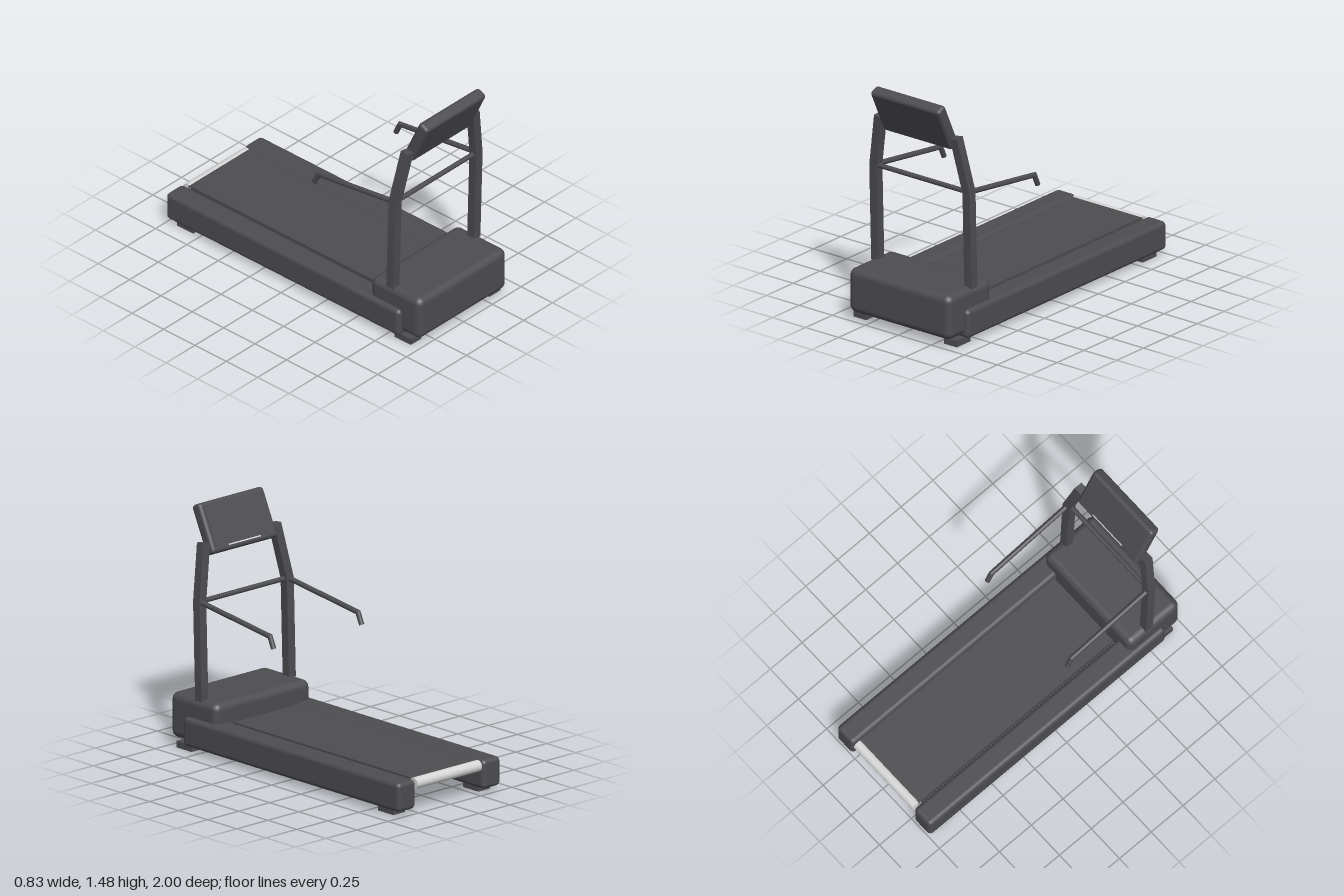
import * as THREE from 'three';
import { toCreasedNormals } from 'three/addons/utils/BufferGeometryUtils.js';
import { RoundedBoxGeometry } from 'three/addons/geometries/RoundedBoxGeometry.js';

// Sweep a regular polygon along a bent path, with mitred joints and end caps.
function mitredBar(path, radius, sides, phase = 0) {
  const pts = path.map((p) => new THREE.Vector3(...p));
  const dirs = pts.slice(1).map((p, i) => p.clone().sub(pts[i]).normalize());
  const u = new THREE.Vector3(1, 0, 0);
  const v = dirs[0].clone().cross(u);
  let ring = [];
  for (let j = 0; j < sides; j++) {
    const a = phase + (j / sides) * Math.PI * 2;
    ring.push(pts[0].clone().addScaledVector(u, Math.cos(a) * radius).addScaledVector(v, Math.sin(a) * radius));
  }
  const rings = [ring];
  for (let i = 1; i < pts.length; i++) {
    const d = dirs[i - 1];
    const normal = d.clone().add(dirs[i] || d).normalize();
    ring = ring.map((p) => {
      const t = pts[i].clone().sub(p).dot(normal) / d.dot(normal);
      return p.clone().addScaledVector(d, t);
    });
    rings.push(ring);
  }
  const tris = [];
  const last = rings[rings.length - 1];
  for (let j = 0; j < sides; j++) {
    const k = (j + 1) % sides;
    for (let i = 0; i < rings.length - 1; i++) {
      const [a, b, c, d] = [rings[i][j], rings[i][k], rings[i + 1][k], rings[i + 1][j]];
      tris.push(a, b, c, a, c, d);
    }
    tris.push(pts[0], rings[0][k], rings[0][j], pts[pts.length - 1], last[j], last[k]);
  }
  return toCreasedNormals(new THREE.BufferGeometry().setFromPoints(tris), 0.6);
}

export function createModel() {
  const model = new THREE.Group();
  model.name = 'treadmill';
  const charcoal = new THREE.MeshStandardMaterial({ color: 0x4d4c50 });
  charcoal.name = 'charcoal';
  const lightGrey = new THREE.MeshStandardMaterial({ color: 0xd6d6d6 });
  lightGrey.name = 'light grey';

  const add = (name, geometry, x = 0, y = 0, z = 0, material = charcoal, parent = model) => {
    const mesh = new THREE.Mesh(geometry, material);
    mesh.name = name;
    mesh.position.set(x, y, z);
    parent.add(mesh);
    return mesh;
  };

  // Base: motor hood, running deck and rear roller
  add('motorHood', new RoundedBoxGeometry(0.77, 0.28, 0.4, 4, 0.045), 0, 0.19, 0.8);
  add('runningDeck', new THREE.BoxGeometry(0.52, 0.055, 1.535), 0, 0.18, -0.19);
  const roller = new THREE.CylinderGeometry(0.035, 0.035, 0.52, 24).rotateZ(Math.PI / 2);
  add('rearRoller', roller, 0, 0.176, -0.965, lightGrey);

  for (const [side, s] of [['left', 1], ['right', -1]]) {
    // Side rails and feet
    add(side + 'Rail', new RoundedBoxGeometry(0.145, 0.18, 1.86, 4, 0.028), s * 0.3425, 0.12, -0.07);
    add(side + 'FrontFoot', new THREE.BoxGeometry(0.095, 0.04, 0.13), s * 0.343, 0.02, 0.87);
    add(side + 'RearFoot', new THREE.BoxGeometry(0.095, 0.04, 0.13), s * 0.343, 0.02, -0.865);

    // Bent square upright
    add(side + 'Upright', mitredBar(
      [[s * 0.353, 0.32, 0.757], [s * 0.353, 0.925, 0.775], [s * 0.287, 1.265, 0.812]],
      0.0275 * Math.SQRT2, 4, Math.PI / 4));

    // Round handle with a bent grip
    add(side + 'Handle', mitredBar(
      [[s * 0.355, 0.925, 0.77], [s * 0.355, 0.847, 0.168], [s * 0.355, 0.777, 0.136]],
      0.016, 16));
  }

  // Crossbar between the uprights
  add('crossbar', new THREE.CylinderGeometry(0.015, 0.015, 0.68, 16).rotateZ(Math.PI / 2), 0, 0.924, 0.775);

  // Tilted console with its screen and lower trim facing the runner
  const console = new THREE.Group();
  console.name = 'console';
  console.position.set(0, 1.33, 0.85);
  console.rotation.x = THREE.MathUtils.degToRad(25);
  model.add(console);
  add('consoleBody', new RoundedBoxGeometry(0.525, 0.31, 0.075, 4, 0.022), 0, 0, 0, charcoal, console);
  add('screen', new THREE.BoxGeometry(0.46, 0.245, 0.008), 0, 0.008, -0.0365, charcoal, console);
  add('consoleTrim', new THREE.BoxGeometry(0.26, 0.008, 0.006), 0, -0.125, -0.0365, lightGrey, console);

  return model;
}
